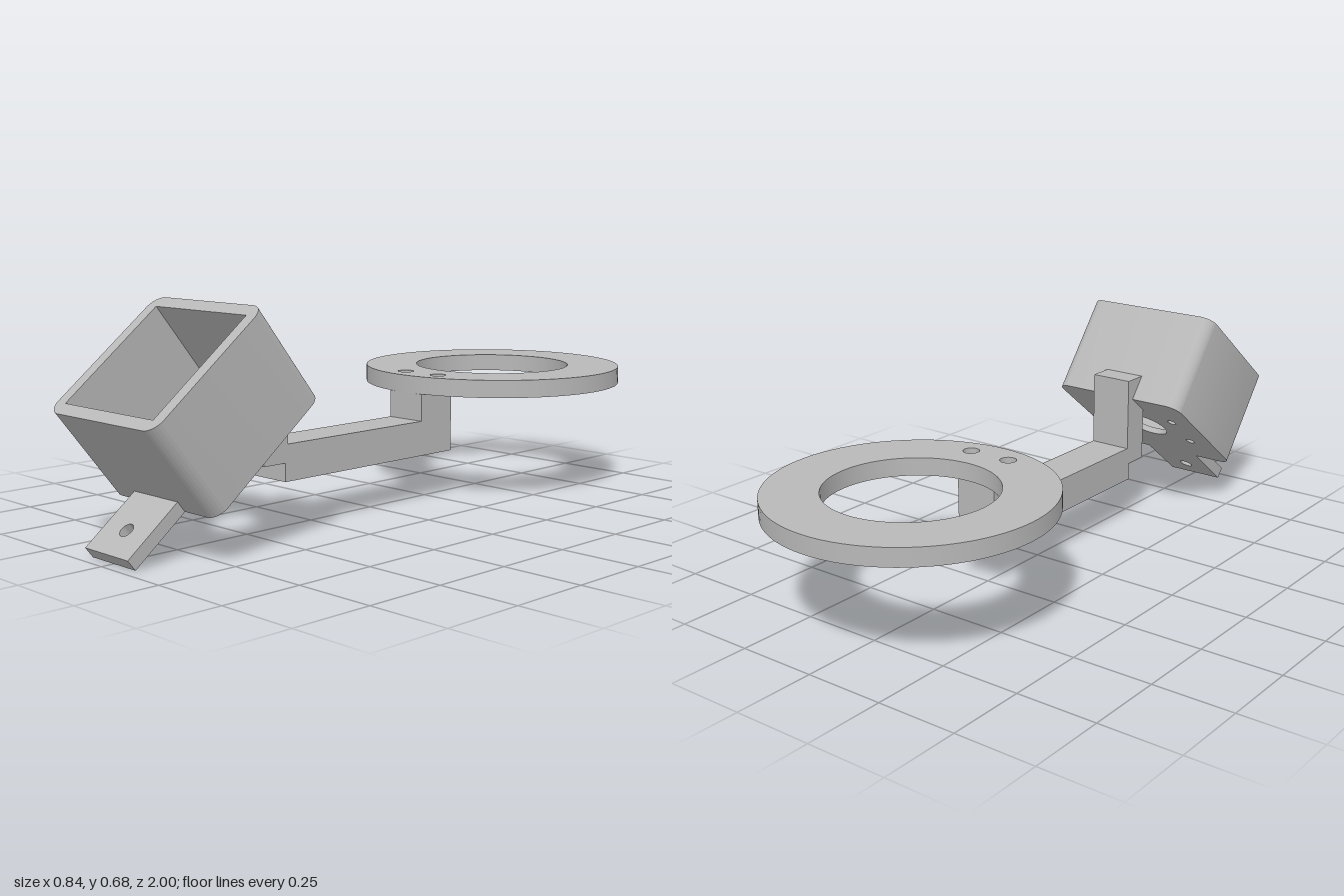
import * as THREE from 'three';
import { toCreasedNormals } from 'three/addons/utils/BufferGeometryUtils.js';

const grey = new THREE.MeshStandardMaterial({ color: 0xb8b8b8 });
grey.name = 'plain grey';

function part(name, geometry) {
  const mesh = new THREE.Mesh(geometry, grey);
  mesh.name = name;
  return mesh;
}

// Rectangle outline with optional rounded corners
function rectangle(x0, y0, x1, y1, r = 0) {
  const s = new THREE.Shape();
  if (!r) {
    return s.moveTo(x0, y0).lineTo(x1, y0).lineTo(x1, y1).lineTo(x0, y1).closePath();
  }
  s.absarc(x1 - r, y0 + r, r, -Math.PI / 2, 0);
  s.absarc(x1 - r, y1 - r, r, 0, Math.PI / 2);
  s.absarc(x0 + r, y1 - r, r, Math.PI / 2, Math.PI);
  s.absarc(x0 + r, y0 + r, r, Math.PI, Math.PI * 1.5);
  return s.closePath();
}

function circle(x, y, r) {
  return new THREE.Shape().absarc(x, y, r, 0, Math.PI * 2);
}

// Flat plate lying in xz (shape y becomes -z), rising from y0 to y1
function plate(outline, holes, y0, y1, segments = 12) {
  outline.holes.push(...holes);
  const g = new THREE.ExtrudeGeometry(outline, {
    depth: y1 - y0, bevelEnabled: false, curveSegments: segments,
  });
  g.rotateX(-Math.PI / 2).translate(0, y0, 0);
  return toCreasedNormals(g, 0.6);
}

// Box given by its limits in y and z, centred on x
function bar(y0, y1, z0, z1) {
  return new THREE.BoxGeometry(0.136, y1 - y0, z1 - z0)
    .translate(0, (y0 + y1) / 2, (z0 + z1) / 2);
}

export function createModel() {
  const model = new THREE.Group();
  model.name = 'ringMountWithTiltedBox';

  // Horizontal ring with two screw holes
  const ringHoles = [circle(0, 0.58, 0.253)];
  for (const side of [-1, 1]) ringHoles.push(circle(side * 0.07, 0.235, 0.025));
  model.add(part('ring', plate(circle(0, 0.58, 0.42), ringHoles, 0.345, 0.4, 40)));

  // Stepped arm between ring and box
  const arm = new THREE.Group();
  arm.name = 'arm';
  arm.add(
    part('ringPost', bar(0.15, 0.345, -0.3, -0.162)),
    part('armBeam', bar(0.15, 0.26, -0.162, 0.41)),
    part('boxPost', bar(0.205, 0.49, 0.4, 0.49)),
  );
  model.add(arm);

  // Open box, tilted forward about x; its floor lies at local y = 0
  const box = new THREE.Group();
  box.name = 'tiltedBox';
  box.position.set(0, 0.277, 0.61);
  box.rotation.x = 0.669;
  const h = 0.236, inner = 0.197, corner = 0.045;

  const floorHoles = [circle(0, 0, 0.08)];
  for (const x of [-0.145, 0.145]) {
    for (const z of [-0.08, 0.08]) floorHoles.push(circle(x, z, 0.015));
  }
  box.add(
    part('boxFloor', plate(rectangle(-h, -h, h, h, corner), floorHoles, 0, 0.02)),
    part('boxWalls', plate(rectangle(-h, -h, h, h, corner),
      [rectangle(-inner, -inner, inner, inner)], 0.02, 0.326)),
    // Mounting tab with one hole
    part('mountingTab', plate(rectangle(-0.097, -0.446, 0.097, -0.23),
      [circle(0, -0.36, 0.022)], 0, 0.039)),
  );
  model.add(box);

  return model;
}
